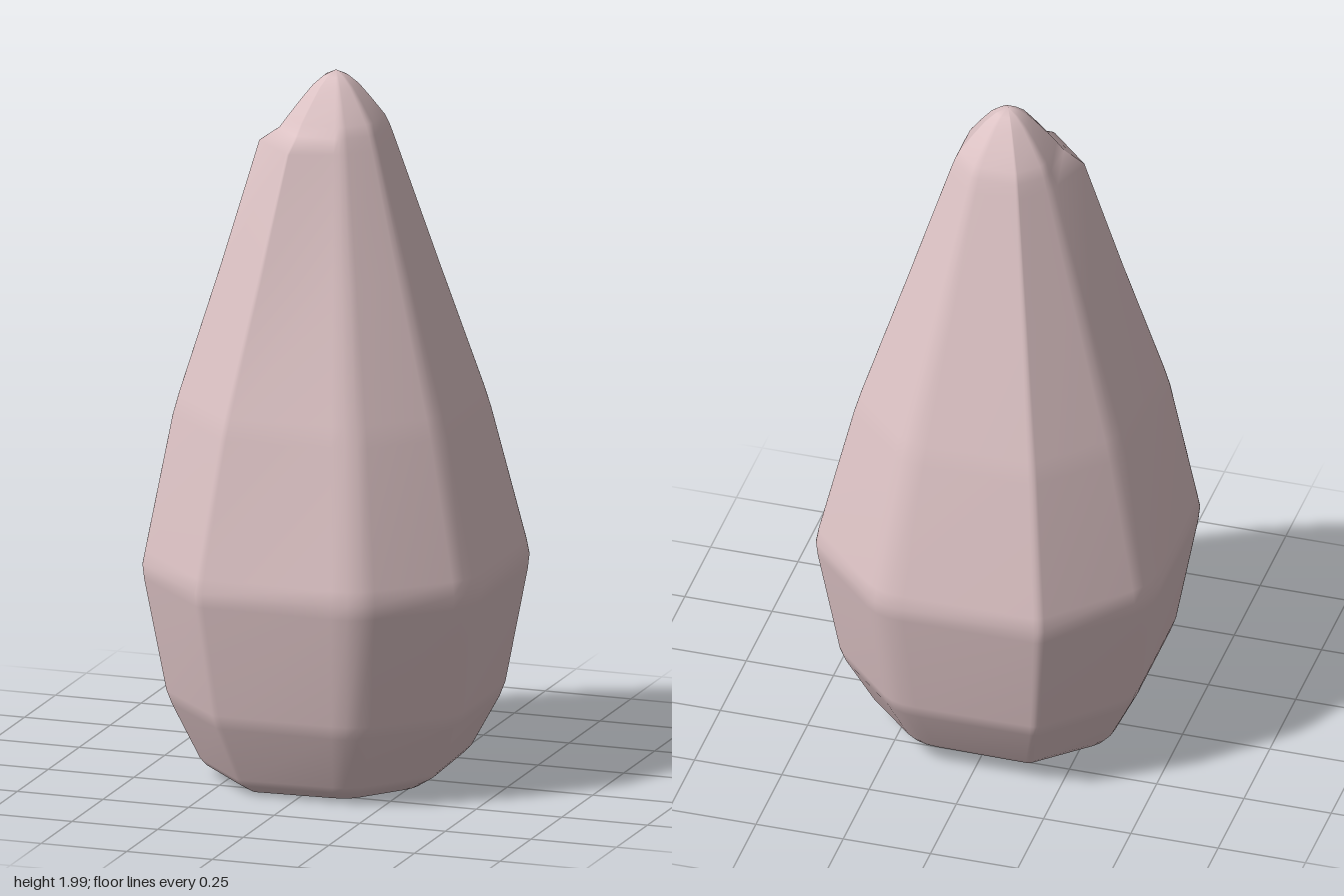
import * as THREE from 'three';

// Height, half-width, and how far the overlapping petal edge stands out
const ROWS = [
  [0.0, 0.25, 0], [0.002, 0.285, 0], [0.03, 0.325, 0], [0.05, 0.34, 0],
  [0.21, 0.41, 0], [0.25, 0.424, 0], [0.57, 0.48, 0], [0.61, 0.484, 0], [0.65, 0.477, 0],
  [1.03, 0.388, 0.024], [1.09, 0.371, 0.026], [1.45, 0.257, 0.037], [1.8, 0.148, 0.052],
  [1.84, 0.135, 0.008], [1.87, 0.122, 0], [1.92, 0.087, 0], [1.96, 0.057, 0], [1.985, 0.03, 0],
];
const H = 0.485; // corner position along each side, relative to the half-width
const CORNERS = [[1, -H], [H, -1], [-H, -1], [-1, -H], [-1, H], [-H, 1], [H, 1], [1, H]];
const SHARP = [0, 2, 4, 5];
const STEPS = 3;

// Octagonal section with softened corners; corners 4 and 5 carry the petal edge
function section(y, a, out) {
  const pts = CORNERS.map(([x, z], i) => {
    const v = new THREE.Vector2(x * a, z * a);
    if (i === 4) v.x -= out;
    if (i === 5) v.y += out;
    return v;
  });
  const ring = [];
  pts.forEach((p, i) => {
    const cut = SHARP.includes(i) ? 0.04 : 0.16;
    const before = p.clone().lerp(pts[(i + 7) % 8], cut);
    const after = p.clone().lerp(pts[(i + 1) % 8], cut);
    const bend = new THREE.QuadraticBezierCurve(before, p, after);
    for (let k = 0; k <= STEPS; k++) {
      const q = bend.getPoint(k / STEPS);
      // The base is cut slightly aslant
      const low = Math.max(0, 1 - y / 0.2);
      ring.push([q.x, y + low * (0.018 + 0.015 * q.x - 0.045 * q.y), q.y]);
    }
  });
  return ring;
}

function budGeometry() {
  const rings = ROWS.map((r) => section(...r));
  const n = rings[0].length;
  const pos = rings.flat(2);
  const idx = [];
  for (let r = 0; r < rings.length - 1; r++) {
    for (let j = 0; j < n; j++) {
      const k = (j + 1) % n, a = r * n, b = a + n;
      idx.push(a + j, a + k, b + k, a + j, b + k, b + j);
    }
  }
  // Close the base and the tip
  const base = rings.length * n, tip = base + 1, last = base - n;
  pos.push(0, 0.018, 0, 0, 2, 0);
  for (let j = 0; j < n; j++) {
    const k = (j + 1) % n;
    idx.push(base, k, j, tip, last + j, last + k);
  }
  const g = new THREE.BufferGeometry();
  g.setAttribute('position', new THREE.Float32BufferAttribute(pos, 3));
  g.setIndex(idx);
  g.computeVertexNormals();
  return g;
}

export function createModel() {
  const group = new THREE.Group();
  group.name = 'bud';
  const body = new THREE.Mesh(budGeometry(), new THREE.MeshStandardMaterial({ color: 0xdcc2c4 }));
  body.name = 'wrappedPetals';
  group.add(body);
  return group;
}
